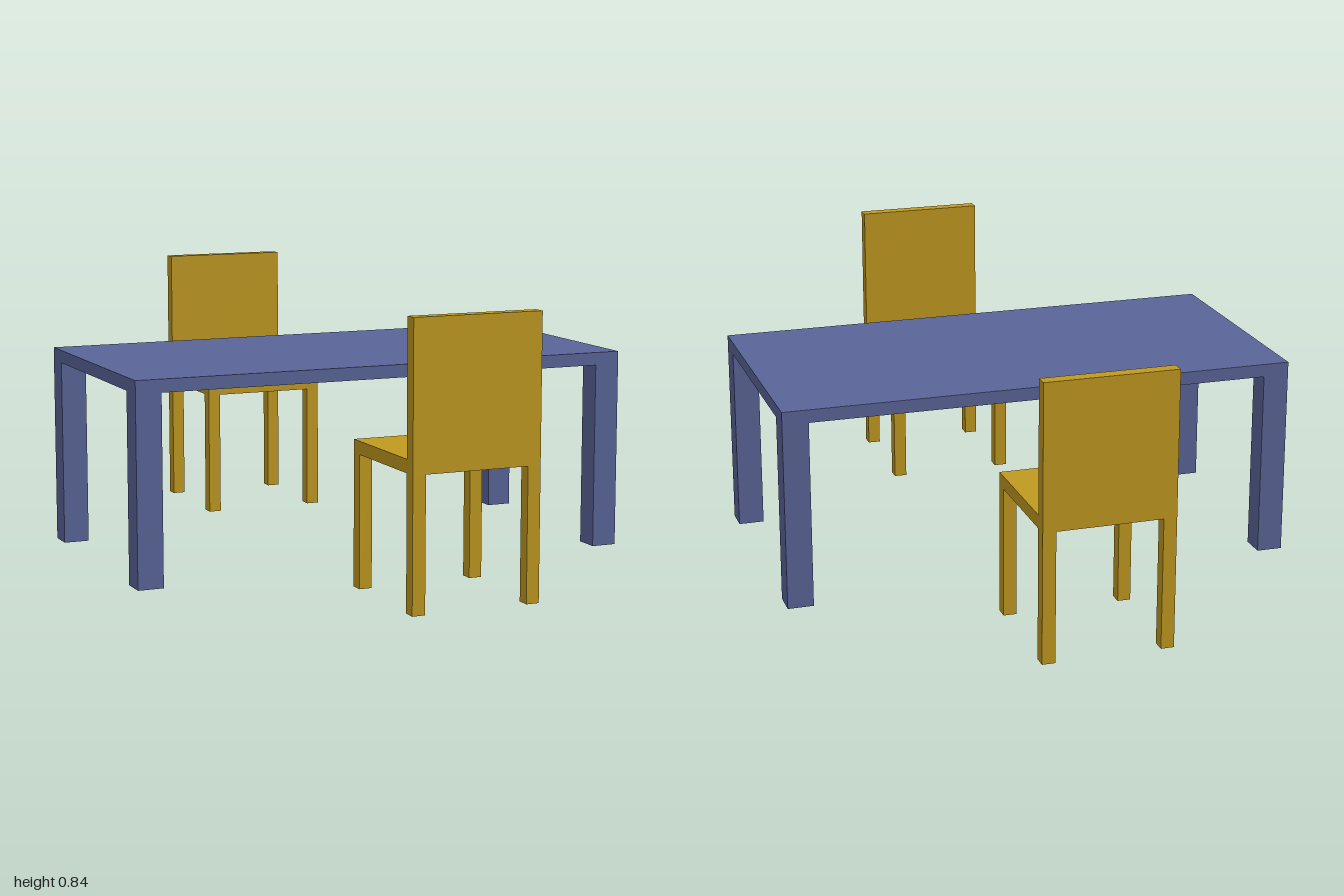
import * as THREE from 'three';

const tableBlue = new THREE.MeshStandardMaterial({ name: 'tableBlue', color: 0x5a6598 });
const chairOchre = new THREE.MeshStandardMaterial({ name: 'chairOchre', color: 0xc09a20 });

// Box standing on height y
function box(parent, name, material, [w, h, d], [x, y, z]) {
  const mesh = new THREE.Mesh(new THREE.BoxGeometry(w, h, d), material);
  mesh.name = name;
  mesh.position.set(x, y + h / 2, z);
  parent.add(mesh);
}

// Flat slab on four square legs flush with its corners
function slabOnLegs(name, slabName, material, width, depth, legHeight, thickness, legSize) {
  const group = new THREE.Group();
  group.name = name;
  box(group, slabName, material, [width, thickness, depth], [0, legHeight, 0]);
  for (const sx of [-1, 1]) {
    for (const sz of [-1, 1]) {
      const legName = (sz > 0 ? 'front' : 'back') + (sx > 0 ? 'Left' : 'Right') + 'Leg';
      box(group, legName, material, [legSize, legHeight, legSize],
        [sx * (width - legSize) / 2, 0, sz * (depth - legSize) / 2]);
    }
  }
  return group;
}

// Chair facing +z, with its backrest on the rear edge of the seat
function createChair(name) {
  const chair = slabOnLegs(name, 'seat', chairOchre, 0.4, 0.4, 0.4, 0.04, 0.04);
  box(chair, 'backrest', chairOchre, [0.4, 0.4, 0.04], [0, 0.44, -0.18]);
  return chair;
}

export function createModel() {
  const model = new THREE.Group();
  model.name = 'diningSet';
  model.add(slabOnLegs('table', 'tabletop', tableBlue, 1.6, 0.8, 0.58, 0.04, 0.08));

  // Two chairs facing each other across the table
  const backChair = createChair('backChair');
  backChair.position.z = -0.8;
  const frontChair = createChair('frontChair');
  frontChair.position.z = 0.8;
  frontChair.rotation.y = Math.PI;
  model.add(backChair, frontChair);
  return model;
}
